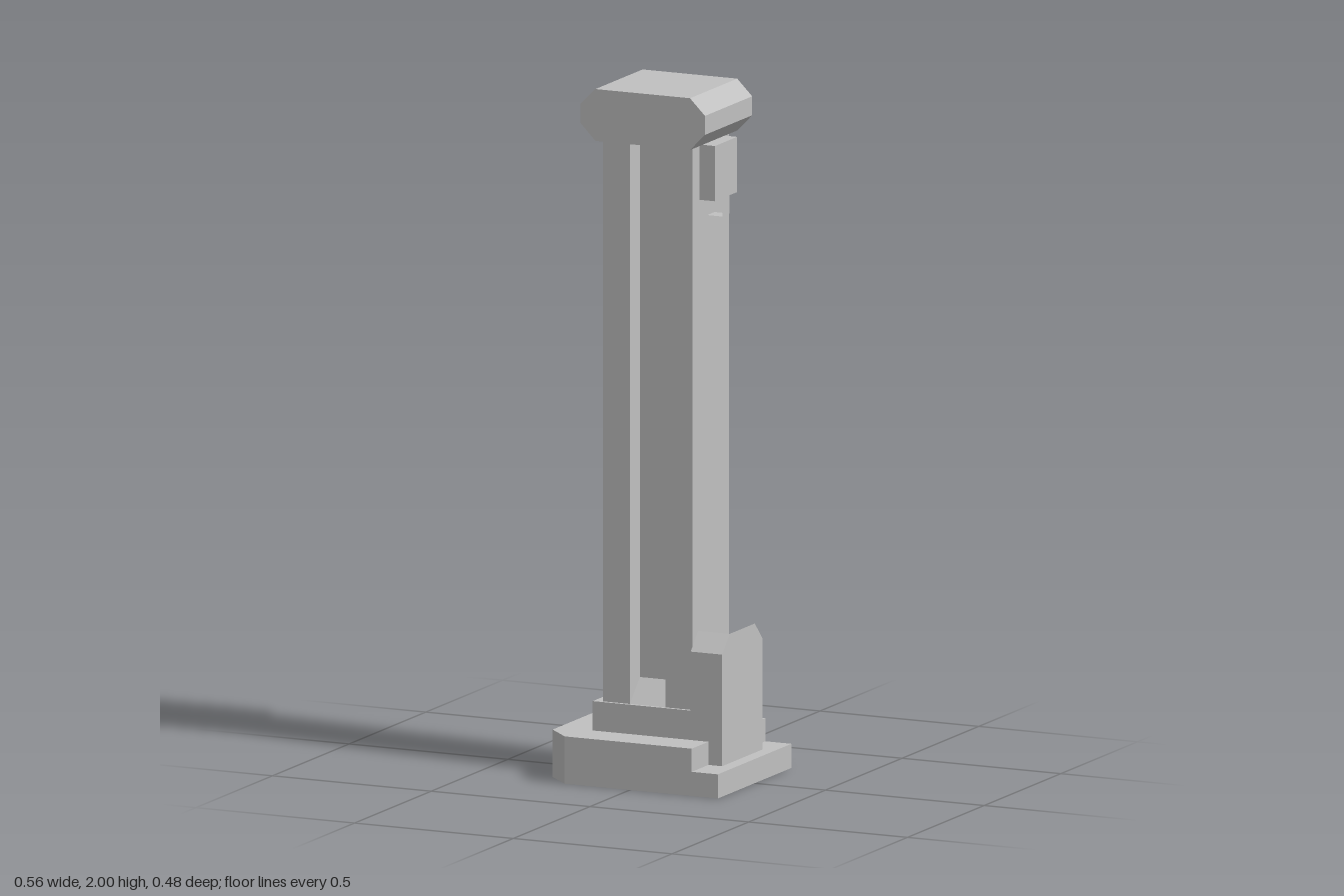
import * as THREE from 'three';

export function createModel() {
  const model = new THREE.Group();
  const stone = new THREE.MeshStandardMaterial({ color: 0xc0c0c0, side: THREE.DoubleSide });
  stone.name = 'grey stone';

  const add = (name, geometry) => {
    const mesh = new THREE.Mesh(geometry, stone);
    mesh.name = name;
    model.add(mesh);
    return mesh;
  };

  // Box given by its min and max corners
  const box = (name, [x0, y0, z0], [x1, y1, z1]) =>
    add(name, new THREE.BoxGeometry(x1 - x0, y1 - y0, z1 - z0)
      .translate((x0 + x1) / 2, (y0 + y1) / 2, (z0 + z1) / 2));

  // Open shell made of flat convex polygons, counter-clockwise from outside
  const shell = (name, polygons) => {
    const pos = [];
    for (const p of polygons)
      for (let i = 1; i < p.length - 1; i++) pos.push(...p[0], ...p[i], ...p[i + 1]);
    const g = new THREE.BufferGeometry();
    g.setAttribute('position', new THREE.Float32BufferAttribute(pos, 3));
    g.computeVertexNormals();
    return add(name, g);
  };

  const outline = (pts) => new THREE.Shape(pts.map(([x, y]) => new THREE.Vector2(x, y)));

  // Stepped base, open underneath, with two cut corners on its right side
  const L = -0.278, R = 0.277, S = 0.195, C = -0.205, Z = 0.24, K = 0.168, H = 0.137, h = 0.07;
  const rim = [[S, -Z], [C, -Z], [L, -K], [L, K], [C, Z], [S, Z]];
  const walls = rim.slice(0, -1).map(([x, z], i) => {
    const [u, w] = rim[i + 1];
    return [[x, 0, z], [u, 0, w], [u, H, w], [x, H, z]];
  });
  shell('base', [
    ...walls,
    rim.map(([x, z]) => [x, H, z]),
    [[S, h, Z], [S, h, -Z], [S, H, -Z], [S, H, Z]],
    [[S, h, Z], [R, h, Z], [R, h, -Z], [S, h, -Z]],
    [[R, 0, Z], [R, 0, -Z], [R, h, -Z], [R, h, Z]],
    [[S, 0, Z], [R, 0, Z], [R, h, Z], [S, h, Z]],
    [[R, 0, -Z], [S, 0, -Z], [S, h, -Z], [R, h, -Z]],
  ]);

  box('plinth', [-0.17, H, -0.13], [0.165, 0.222, 0.13]);

  // Column with a groove down the front
  const column = new THREE.ExtrudeGeometry(outline([
    [-0.143, 0.12], [0.139, 0.12], [0.139, -0.12], [0.054, -0.12],
    [0.054, -0.055], [-0.058, -0.055], [-0.058, -0.12], [-0.143, -0.12],
  ]), { depth: 1.63, bevelEnabled: false });
  add('column', column.rotateX(-Math.PI / 2).translate(0, 0.222, 0));

  // Sloped foot of the groove
  shell('grooveSlope', [
    [[-0.058, 0.222, 0.12], [0.054, 0.222, 0.12], [0.054, 0.288, 0.055], [-0.058, 0.288, 0.055]],
  ]);

  // Cap with bevelled left and right ends
  const cap = new THREE.ExtrudeGeometry(outline([
    [-0.15, 1.85], [0.148, 1.85], [0.195, 1.898], [0.195, 1.953],
    [0.148, 2], [-0.15, 2], [-0.197, 1.953], [-0.197, 1.898],
  ]), { depth: 0.308, bevelEnabled: false });
  add('cap', cap.translate(0, 0, -0.154));

  // Thin side guard: upright sheet with its front return and sloped corner
  const gx = 0.238, gz = 0.131, cz = 0.082;
  shell('sideGuard', [
    [[gx, h, gz], [gx, h, -gz], [gx, 0.393, -gz], [gx, 0.444, -cz], [gx, 0.444, cz], [gx, 0.393, gz]],
    [[0.139, h, gz], [gx, h, gz], [gx, 0.393, gz], [0.139, 0.393, gz]],
    [[0.139, 0.393, gz], [gx, 0.393, gz], [gx, 0.444, cz], [0.139, 0.444, cz]],
  ]);

  // Small side fixture with a thin tab below
  box('sideFixture', [0.139, 1.69, -0.072], [0.187, 1.85, 0.072]);
  shell('fixtureTab', [
    [[0.187, 1.637, 0.024], [0.187, 1.637, -0.024], [0.187, 1.69, -0.024], [0.187, 1.69, 0.024]],
    [[0.139, 1.637, -0.024], [0.187, 1.637, -0.024], [0.187, 1.637, 0.024], [0.139, 1.637, 0.024]],
  ]);

  return model;
}
